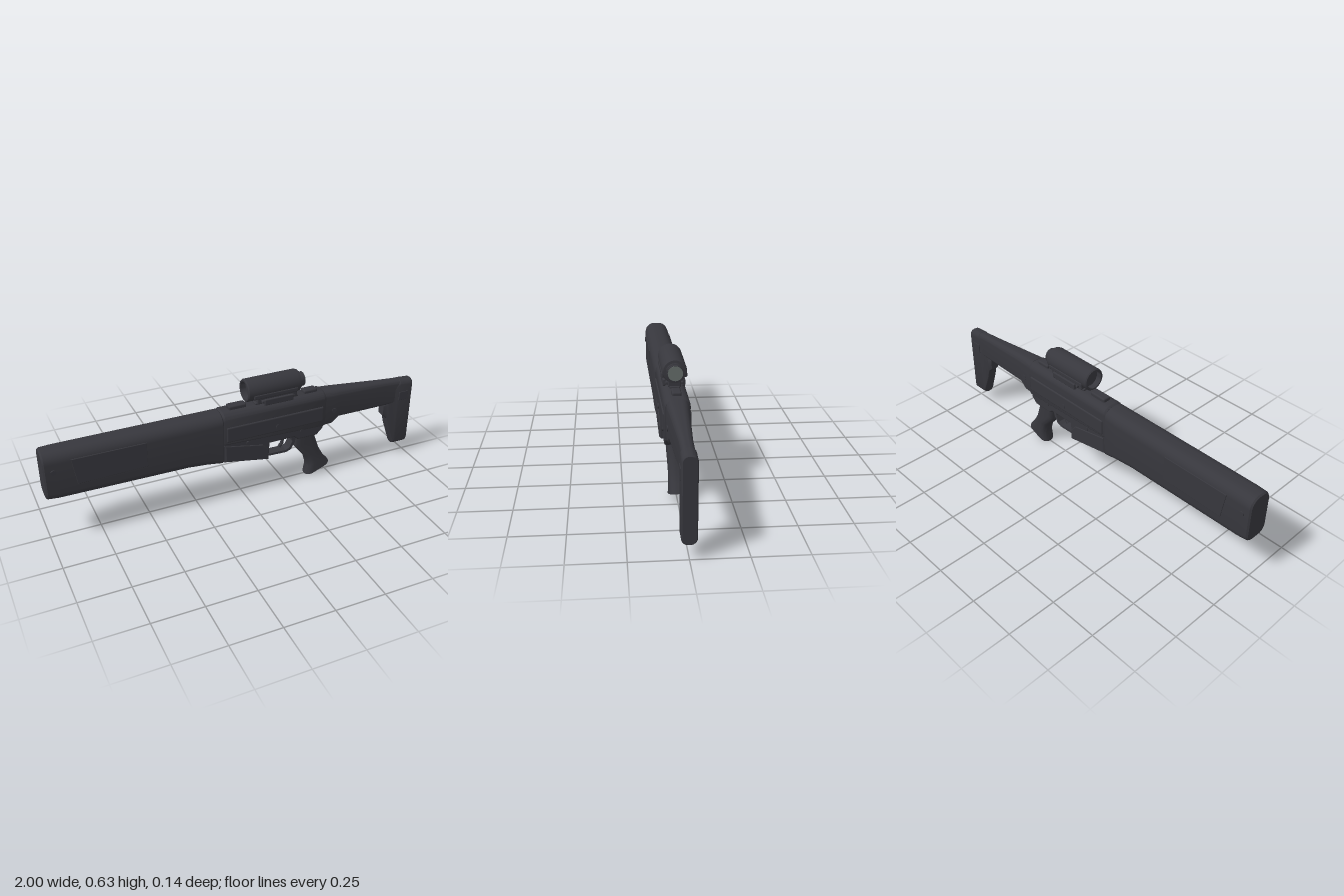
import * as THREE from 'three';
import { toCreasedNormals } from 'three/addons/utils/BufferGeometryUtils.js';
import { RoundedBoxGeometry } from 'three/addons/geometries/RoundedBoxGeometry.js';

const bodyMat = new THREE.MeshStandardMaterial({ name: 'dark grey polymer', color: 0x37373d });
const lensMat = new THREE.MeshStandardMaterial({ name: 'grey lens', color: 0x646c6a });

// Loft of rounded rectangles along x: [x, top, bottom, halfWidth, topRadius, bottomRadius]
function loft(sections) {
  const steps = 6, pos = [], idx = [];
  const n = 4 * (steps + 1);
  for (const [x, top, bot, w, rt, rb] of sections) {
    const corners = [[w - rt, top - rt, rt], [-w + rt, top - rt, rt], [-w + rb, bot + rb, rb], [w - rb, bot + rb, rb]];
    corners.forEach(([cz, cy, r], c) => {
      for (let k = 0; k <= steps; k++) {
        const a = (c + k / steps) * Math.PI / 2;
        pos.push(x, cy + r * Math.sin(a), cz + r * Math.cos(a));
      }
    });
  }
  const last = sections.length - 1;
  for (let s = 0; s < last; s++) {
    for (let i = 0; i < n; i++) {
      const a = s * n + i, b = s * n + (i + 1) % n;
      idx.push(a, a + n, b, b, a + n, b + n);
    }
  }
  [0, last].forEach((s) => {
    const [x, top, bot] = sections[s], c = pos.length / 3;
    pos.push(x, (top + bot) / 2, 0);
    for (let i = 0; i < n; i++) {
      const a = s * n + i, b = s * n + (i + 1) % n;
      if (s === 0) idx.push(c, a, b); else idx.push(c, b, a);
    }
  });
  const g = new THREE.BufferGeometry();
  g.setAttribute('position', new THREE.Float32BufferAttribute(pos, 3));
  g.setIndex(idx);
  return toCreasedNormals(g, 0.5);
}

// Side silhouette extruded symmetrically across z
function slab(points, halfWidth, bevel, hole) {
  const shape = new THREE.Shape(points.map(([x, y]) => new THREE.Vector2(x, y)));
  if (hole) shape.holes.push(new THREE.Path(hole.map(([x, y]) => new THREE.Vector2(x, y))));
  const depth = 2 * (halfWidth - bevel);
  const g = new THREE.ExtrudeGeometry(shape, {
    depth, bevelEnabled: bevel > 0, bevelSize: bevel, bevelThickness: bevel, bevelOffset: -bevel, bevelSegments: 3,
  });
  return g.translate(0, 0, -depth / 2);
}

export function createModel() {
  const model = new THREE.Group();
  const add = (name, geometry, material = bodyMat) => {
    const m = new THREE.Mesh(geometry, material);
    m.name = name;
    model.add(m);
    return m;
  };
  const block = (name, x0, x1, y0, y1, halfWidth, r = 0.005, z = 0) => add(name,
    new RoundedBoxGeometry(x1 - x0, y1 - y0, 2 * halfWidth, 3, r)).position.set((x0 + x1) / 2, (y0 + y1) / 2, z);
  const pin = (name, x, y, r, halfWidth) => add(name,
    new THREE.CylinderGeometry(r, r, 2 * halfWidth, 16).rotateX(Math.PI / 2)).position.set(x, y, 0);

  // Long forend with inset-looking side panels
  add('forend', loft([
    [-1, 0.492, 0.257, 0.059, 0.047, 0.036],
    [-0.992, 0.498, 0.25, 0.065, 0.052, 0.042],
    [-0.94, 0.5, 0.246, 0.067, 0.053, 0.042],
    [-0.3, 0.5, 0.241, 0.068, 0.053, 0.042],
    [-0.2, 0.5, 0.235, 0.068, 0.053, 0.036],
    [-0.12, 0.5, 0.227, 0.066, 0.05, 0.025],
    [-0.114, 0.496, 0.232, 0.061, 0.046, 0.022],
  ]));
  add('forendPanels', slab([[-0.87, 0.455], [-0.51, 0.455], [-0.51, 0.325], [-0.85, 0.318]], 0.0705, 0.002));
  pin('forendScrew', -0.955, 0.405, 0.013, 0.071);

  // Receiver
  add('upperReceiver', loft([
    [-0.116, 0.497, 0.33, 0.056, 0.035, 0.01],
    [-0.106, 0.503, 0.33, 0.061, 0.04, 0.01],
    [0.445, 0.503, 0.31, 0.06, 0.04, 0.01],
    [0.457, 0.497, 0.31, 0.054, 0.035, 0.01],
  ]));
  block('receiverSideRail', -0.1, 0.44, 0.345, 0.43, 0.066, 0.008);
  add('lowerReceiver', slab([
    [-0.112, 0.36], [0.445, 0.36], [0.445, 0.3], [0.41, 0.265], [0.3, 0.265],
    [0.28, 0.283], [0.14, 0.283], [0.135, 0.187], [-0.112, 0.23],
  ], 0.057, 0.008));
  add('magazineWell', slab([
    [-0.105, 0.325], [0.1, 0.285], [0.13, 0.25], [0.13, 0.192], [-0.105, 0.234],
  ], 0.061, 0.004));
  pin('frontPin', 0.02, 0.315, 0.012, 0.061);
  pin('selectorPin', 0.18, 0.375, 0.014, 0.07);
  pin('rearPin', 0.32, 0.31, 0.011, 0.061);

  // Trigger and guard
  add('triggerGuard', slab([
    [0.125, 0.29], [0.125, 0.188], [0.25, 0.184], [0.278, 0.195], [0.3, 0.235], [0.31, 0.29],
  ], 0.026, 0, [[0.142, 0.282], [0.275, 0.282], [0.285, 0.24], [0.268, 0.206], [0.248, 0.197], [0.142, 0.199]]));
  const triggerPath = new THREE.CatmullRomCurve3([[0.225, 0.29], [0.238, 0.255], [0.235, 0.23], [0.22, 0.212]]
    .map(([x, y]) => new THREE.Vector3(x, y, 0)));
  add('trigger', new THREE.TubeGeometry(triggerPath, 12, 0.009, 8));

  // Pistol grip, lofted along its own slanted axis
  const grip = add('pistolGrip', loft([
    [-0.29, 0.07, -0.04, 0.045, 0.03, 0.03],
    [-0.206, 0.058, -0.066, 0.043, 0.035, 0.035],
    [-0.113, 0.054, -0.037, 0.04, 0.036, 0.036],
    [-0.05, 0.062, -0.043, 0.04, 0.036, 0.036],
    [-0.01, 0.075, -0.068, 0.041, 0.038, 0.038],
    [0, 0.077, -0.073, 0.041, 0.038, 0.038],
  ]));
  grip.position.set(0.443, 0.034, 0);
  grip.rotation.z = -1.18;

  // Stock arm and butt
  add('stockArm', loft([
    [0.455, 0.5, 0.305, 0.052, 0.035, 0.02],
    [0.505, 0.497, 0.305, 0.05, 0.034, 0.02],
    [0.545, 0.494, 0.335, 0.046, 0.032, 0.02],
    [0.83, 0.47, 0.325, 0.03, 0.024, 0.018],
    [0.93, 0.462, 0.325, 0.029, 0.024, 0.018],
  ]));
  add('stockButt', loft([
    [0.836, 0.33, 0.264, 0.022, 0.012, 0.012],
    [0.86, 0.335, 0.24, 0.025, 0.014, 0.014],
    [0.872, 0.4, 0.19, 0.027, 0.02, 0.02],
    [0.915, 0.455, 0.07, 0.031, 0.026, 0.026],
    [0.925, 0.464, 0.068, 0.034, 0.03, 0.03],
    [0.992, 0.459, 0.068, 0.034, 0.03, 0.03],
    [1, 0.454, 0.074, 0.029, 0.026, 0.026],
  ]));
  block('buttPlate', 0.92, 0.975, 0.345, 0.395, 0.0365, 0.002);
  pin('stockPin', 0.51, 0.385, 0.014, 0.053);

  // Sight bases on the receiver
  block('frontSightBase', -0.07, 0.025, 0.49, 0.522, 0.022, 0.008);
  block('rearSightBase', 0.345, 0.42, 0.49, 0.52, 0.022, 0.008);

  // Optic mount with clamp bars on both sides
  block('mountFoot', 0.07, 0.31, 0.495, 0.512, 0.025);
  block('mountRail', 0.08, 0.3, 0.505, 0.54, 0.03);
  for (const s of [-1, 1]) {
    block('mountArm', 0.1, 0.28, 0.512, 0.526, 0.012, 0.004, s * 0.032);
    block('mountClamp', 0.11, 0.27, 0.502, 0.535, 0.007, 0.005, s * 0.046);
    block('opticSideStrip', 0.05, 0.29, 0.55, 0.572, 0.007, 0.005, s * 0.053);
  }

  // Optic tube with a recessed front and a stepped eyepiece
  const profile = [
    [0, 0.05], [0.046, 0.05], [0.046, 0.02], [0.054, 0.02], [0.058, 0.026], [0.058, 0.295], [0.054, 0.31],
    [0.042, 0.312], [0.042, 0.322], [0.037, 0.324], [0.037, 0.339], [0, 0.339],
  ].map(([r, x]) => new THREE.Vector2(r, x));
  const optic = add('opticTube', toCreasedNormals(new THREE.LatheGeometry(profile, 32), 0.5));
  optic.rotation.z = -Math.PI / 2;
  optic.position.y = 0.583;
  const lens = add('opticLens', new THREE.CylinderGeometry(0.035, 0.035, 0.004, 24), lensMat);
  lens.rotation.z = -Math.PI / 2;
  lens.position.set(0.34, 0.583, 0);

  return model;
}
